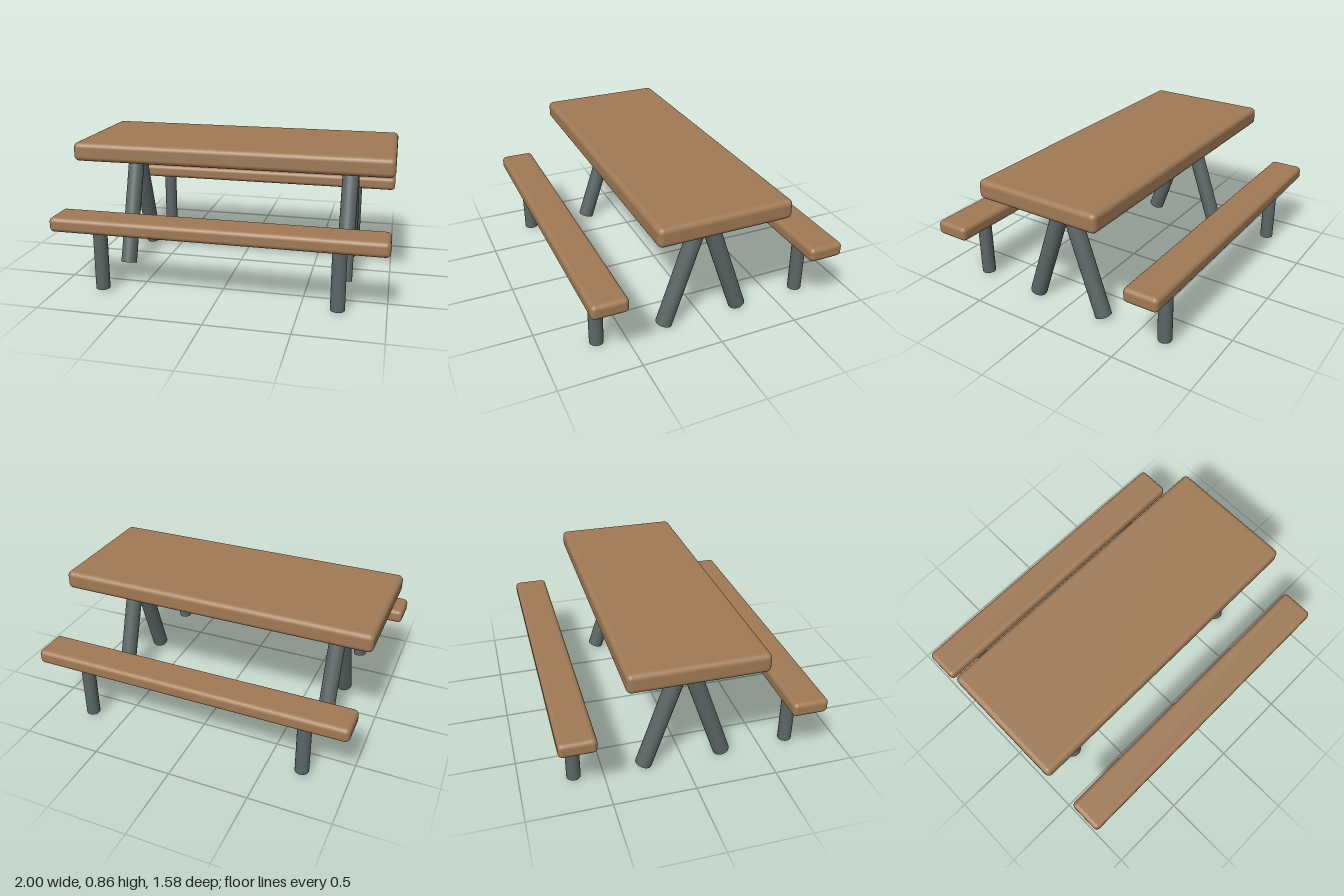
import * as THREE from 'three';
import { RoundedBoxGeometry } from 'three/addons/geometries/RoundedBoxGeometry.js';

const wood = new THREE.MeshStandardMaterial({ color: 0xa07a55 });
wood.name = 'wood';
const metal = new THREE.MeshStandardMaterial({ color: 0x5c6766 });
metal.name = 'grey metal';

// Board with softly rounded edges, placed by its bottom and top heights
function board(name, depth, bottom, top, z, radius) {
  const mesh = new THREE.Mesh(new RoundedBoxGeometry(2, top - bottom, depth, 4, radius), wood);
  mesh.name = name;
  mesh.position.set(0, (bottom + top) / 2, z);
  return mesh;
}

// Round post running between two points
function post(name, from, to, radius) {
  const axis = to.clone().sub(from);
  const mesh = new THREE.Mesh(new THREE.CylinderGeometry(radius, radius, axis.length(), 24), metal);
  mesh.name = name;
  mesh.position.copy(from).add(to).multiplyScalar(0.5);
  mesh.quaternion.setFromUnitVectors(new THREE.Vector3(0, 1, 0), axis.normalize());
  return mesh;
}

export function createModel() {
  const model = new THREE.Group();
  model.name = 'picnicTable';

  model.add(board('tableTop', 0.813, 0.738, 0.856, 0, 0.032));

  for (const side of [1, -1]) {
    const end = side > 0 ? 'front' : 'back';
    model.add(board(end + 'Bench', 0.218, 0.393, 0.483, side * 0.679, 0.028));

    for (const x of [0.72, -0.72]) {
      const hand = x > 0 ? 'Left' : 'Right';
      // Splayed table leg, its pair crossing just under the top
      model.add(post(end + hand + 'TableLeg',
        new THREE.Vector3(x, 0.017, side * 0.25),
        new THREE.Vector3(x, 0.765, side * -0.004), 0.052));
      // Upright bench leg
      model.add(post(end + hand + 'BenchLeg',
        new THREE.Vector3(x, 0.018, side * 0.679),
        new THREE.Vector3(x, 0.42, side * 0.679), 0.043));
    }
  }
  return model;
}
